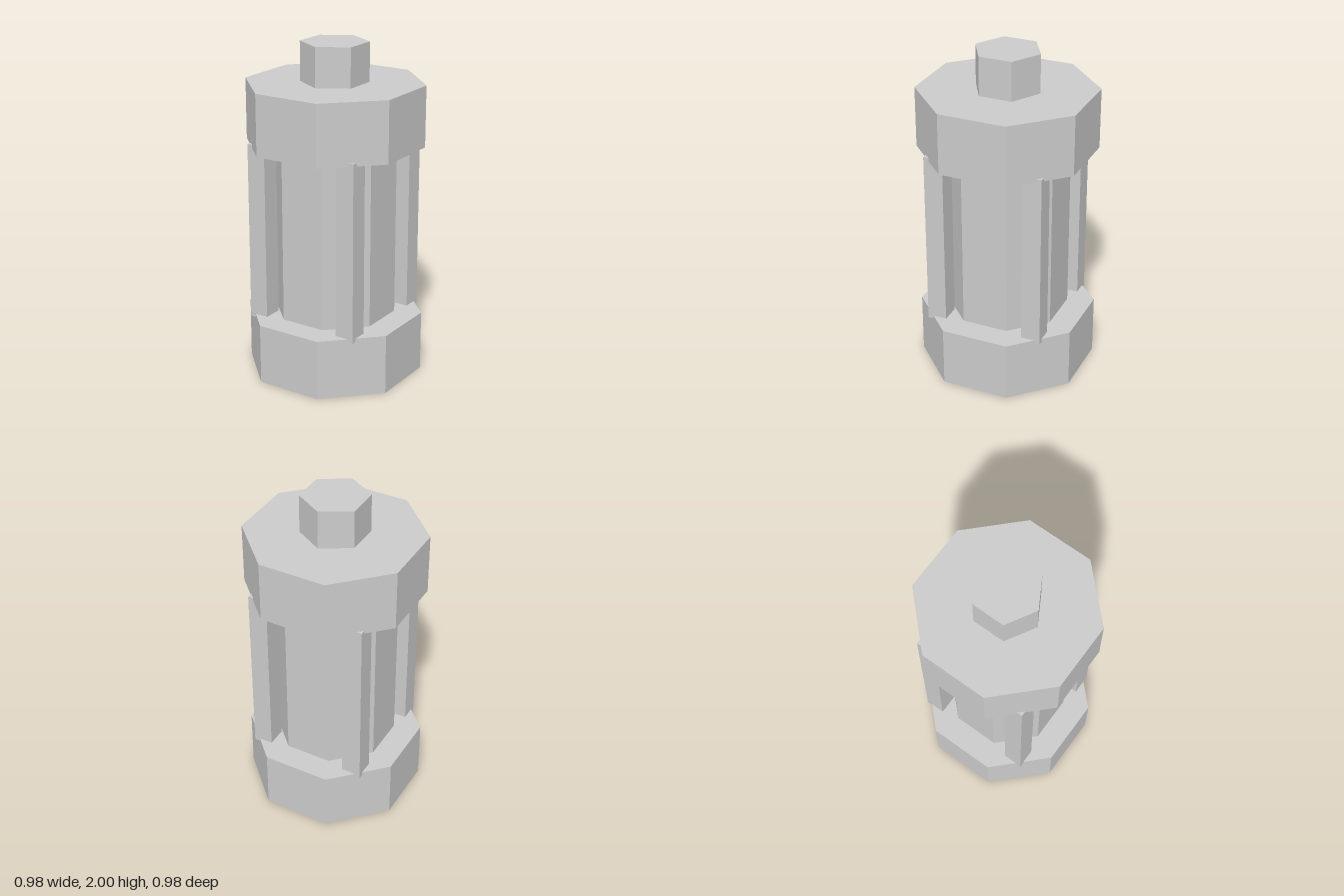
import * as THREE from 'three';

const material = new THREE.MeshStandardMaterial({ color: 0xcccccc, flatShading: true });

// Upright prism with flat faces, from y0 to y1
function prism(name, radius, sides, y0, y1, turn = 0) {
  const geometry = new THREE.CylinderGeometry(radius, radius, y1 - y0, sides, 1, false, turn);
  const mesh = new THREE.Mesh(geometry, material);
  mesh.name = name;
  mesh.position.y = (y0 + y1) / 2;
  return mesh;
}

export function createModel() {
  const model = new THREE.Group();
  model.name = 'canister';
  const turn = Math.PI / 8; // octagon flats face the axes

  model.add(
    prism('base', 0.53, 8, 0, 0.365, turn),
    prism('core', 0.366, 8, 0.345, 1.42, turn),
    prism('topCollar', 0.53, 8, 1.4, 1.765, turn),
    prism('hexCap', 0.2, 6, 1.745, 2)
  );

  // Four square posts whose outer corners poke past the collars
  const postGeometry = new THREE.BoxGeometry(0.118, 1.075, 0.118);
  for (const x of [-1, 1]) {
    for (const z of [-1, 1]) {
      const post = new THREE.Mesh(postGeometry, material);
      post.name = `${z > 0 ? 'front' : 'back'}${x > 0 ? 'Left' : 'Right'}Post`;
      post.position.set(x * 0.304, 0.8825, z * 0.304);
      model.add(post);
    }
  }
  return model;
}
